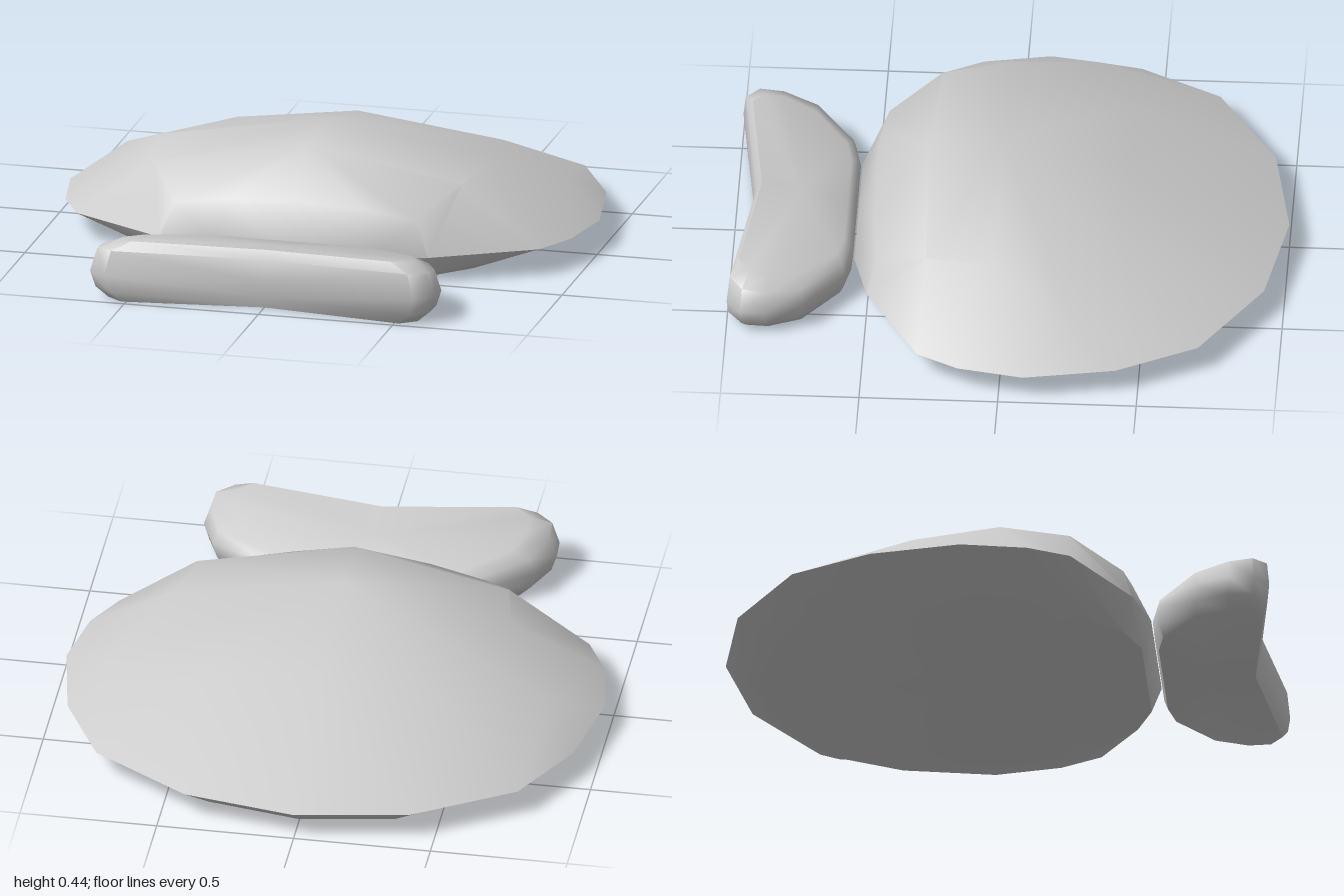
import * as THREE from 'three';
import { toCreasedNormals } from 'three/addons/utils/BufferGeometryUtils.js';

const material = new THREE.MeshStandardMaterial({ color: 0xcccccc });

// Skins rings of [x, y, z] points (back to front on the +x half) and mirrors them to -x.
function mirroredLoft(rings, crease) {
  const positions = [];
  const v = (p) => new THREE.Vector3(...p);
  const addTriangle = (a, b, c) => {
    const area = v(b).sub(v(a)).cross(v(c).sub(v(a))).length();
    if (area < 1e-6) return;
    positions.push(...a, ...b, ...c);
    for (const [x, y, z] of [a, c, b]) positions.push(-x, y, z);
  };
  for (let r = 0; r < rings.length - 1; r++) {
    const lower = rings[r], upper = rings[r + 1];
    for (let i = 0; i < lower.length - 1; i++) {
      addTriangle(lower[i], upper[i], lower[i + 1]);
      addTriangle(upper[i], upper[i + 1], lower[i + 1]);
    }
  }
  const geometry = new THREE.BufferGeometry();
  geometry.setAttribute('position', new THREE.Float32BufferAttribute(positions, 3));
  return toCreasedNormals(geometry, crease);
}

function shellGeometry() {
  const atHeight = (y, points) => points.map(([x, z]) => [x, y, z]);
  const base = atHeight(0, [
    [0, -0.87], [0.34, -0.81], [0.6, -0.63], [0.66, -0.36], [0.67, -0.08],
    [0.66, 0.12], [0.61, 0.27], [0.42, 0.46], [0.27, 0.52], [0, 0.52],
  ]);
  const rim = atHeight(0.1, [
    [0, -1], [0.41, -0.93], [0.77, -0.71], [0.925, -0.42], [0.985, -0.09],
    [0.94, 0.15], [0.86, 0.3], [0.5, 0.5], [0.29, 0.555], [0, 0.555],
  ]);
  // Shoulder: the steep side walls meet at one point
  const side = [0.82, 0.2, -0.27];
  const shoulder = [
    [0, 0.335, -0.42], [0.45, 0.275, -0.42], side, side, side,
    [0.62, 0.335, 0.03], [0.57, 0.315, 0.28], [0.45, 0.225, 0.465], [0.25, 0.26, 0.485], [0, 0.27, 0.49],
  ];
  // Ridge along the middle
  const peak = [0, 0.445, 0.03], brow = [0, 0.425, 0.3];
  const ridge = shoulder.map((_, i) => (i < 6 ? peak : brow));
  const floor = base.map(() => [0, 0, 0]);
  return mirroredLoft([floor, base, rim, shoulder, ridge], 0.9);
}

function crescentGeometry() {
  const outline = [
    [0, 0.56], [0.28, 0.56], [0.4, 0.585], [0.59, 0.73], [0.645, 0.86],
    [0.64, 0.95], [0.575, 1], [0, 0.93],
  ];
  const middle = 0.76;
  // Each ring is the outline scaled about its middle; the top slopes up to the front
  const ring = (scale, height) => outline.map(([x, z]) => {
    const zs = middle + (z - middle) * scale;
    return [x * scale, height(0.15 + 0.2 * (zs - 0.58)), zs];
  });
  return mirroredLoft([
    ring(0, () => 0),
    ring(0.9, () => 0),
    ring(0.97, () => 0.04),
    ring(1, () => 0.1),
    ring(0.96, (top) => 0.1 + (top - 0.1) * 0.7),
    ring(0.84, (top) => top),
    ring(0, (top) => top),
  ], 1.1);
}

export function createModel() {
  const model = new THREE.Group();
  model.name = 'shellWithCrescent';
  const parts = { shell: shellGeometry(), frontCrescent: crescentGeometry() };
  for (const [name, geometry] of Object.entries(parts)) {
    const mesh = new THREE.Mesh(geometry, material);
    mesh.name = name;
    model.add(mesh);
  }
  return model;
}
